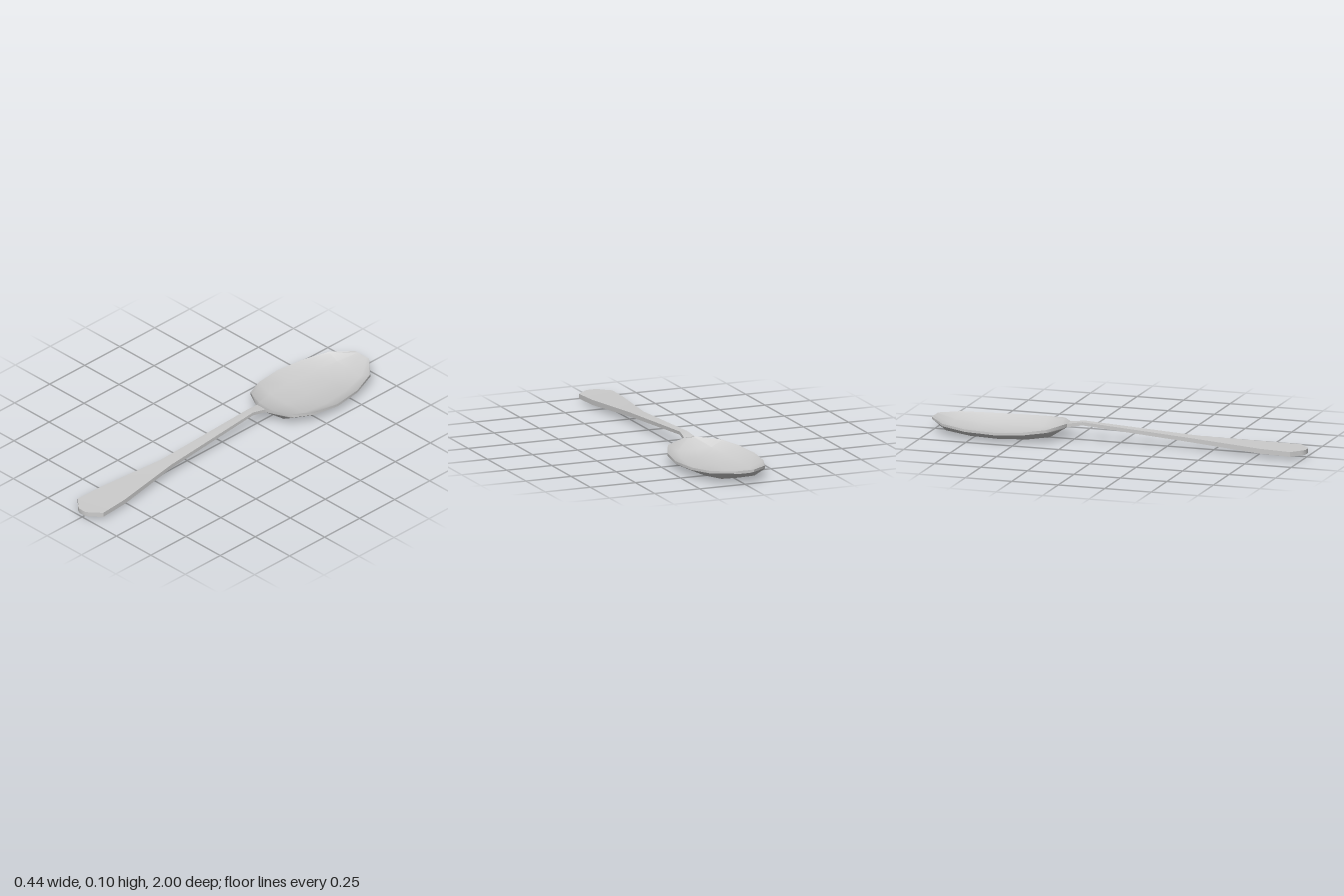
import * as THREE from 'three';
import { toCreasedNormals } from 'three/addons/utils/BufferGeometryUtils.js';

// Solid skinned over rows running from front to back. Each row has an upper and
// a lower edge line, both listed from -x to +x with the same number of points.
function loft(rows) {
  const n = rows[0].top.length, ring = 2 * n;
  const pos = [], idx = [];
  for (const { top, bottom } of rows) {
    for (const p of [...top, ...[...bottom].reverse()]) pos.push(...p);
  }
  const quad = (a, b, c, d) => idx.push(a, b, c, a, c, d);
  for (let r = 0; r < rows.length - 1; r++) {
    for (let i = 0; i < ring; i++) {
      const j = (i + 1) % ring, o = r * ring;
      quad(o + i, o + j, o + ring + j, o + ring + i);
    }
  }
  // end caps
  const last = (rows.length - 1) * ring;
  for (let i = 0; i < n - 1; i++) {
    const b = ring - 1 - i;
    quad(i, b, b - 1, i + 1);
    quad(last + i, last + i + 1, last + b - 1, last + b);
  }
  const g = new THREE.BufferGeometry();
  g.setAttribute('position', new THREE.Float32BufferAttribute(pos, 3));
  g.setIndex(idx);
  return toCreasedNormals(g, 0.62);
}

export function createModel() {
  const group = new THREE.Group();
  const material = new THREE.MeshStandardMaterial({ color: 0xcccccc });
  const add = (name, rows) => {
    const mesh = new THREE.Mesh(loft(rows), material);
    mesh.name = name;
    group.add(mesh);
  };

  // Handle: z, half width, top y, bottom y
  const handle = [
    [1.0, 0.02, 0.042, 0.017],
    [0.988, 0.042, 0.042, 0.017],
    [0.972, 0.056, 0.042, 0.017],
    [0.958, 0.074, 0.042, 0.017],
    [0.94, 0.093, 0.042, 0.017],
    [0.78, 0.085, 0.045, 0.019],
    [0.4, 0.035, 0.06, 0.038],
    [-0.2, 0.02, 0.097, 0.08],
    [-0.28, 0.03, 0.085, 0.067],
  ];
  add('handle', handle.map(([z, w, t, b]) => ({
    top: [-w, w].map((x) => [x, t, z]),
    bottom: [-w, w].map((x) => [x, b, z]),
  })));

  // Bowl: z, half width, rim top y, rim bottom y, underside y at the middle
  const bowl = [
    [-0.28, 0.03, 0.085, 0.067, 0.067],
    [-0.35, 0.15, 0.073, 0.058, 0.021],
    [-0.46, 0.2, 0.062, 0.048, 0.007],
    [-0.61, 0.22, 0.055, 0.042, 0.001],
    [-0.77, 0.2, 0.056, 0.043, 0.003],
    [-0.91, 0.15, 0.064, 0.051, 0.015],
    [-1.0, 0.05, 0.073, 0.061, 0.058],
  ];
  // Cross-section: fraction of half width, fraction of depth
  const section = [[-1, 0], [-0.95, 0.17], [-0.61, 0.93], [0, 1], [0.61, 0.93], [0.95, 0.17], [1, 0]];
  add('bowl', bowl.map(([z, w, rimTop, rimBottom, floor]) => {
    const inner = Math.min(rimTop, floor + 0.015);
    return {
      top: section.map(([u, d]) => [u * w, rimTop + (inner - rimTop) * d, z]),
      bottom: section.map(([u, d]) => [u * w, rimBottom + (floor - rimBottom) * d, z]),
    };
  }));

  return group;
}
